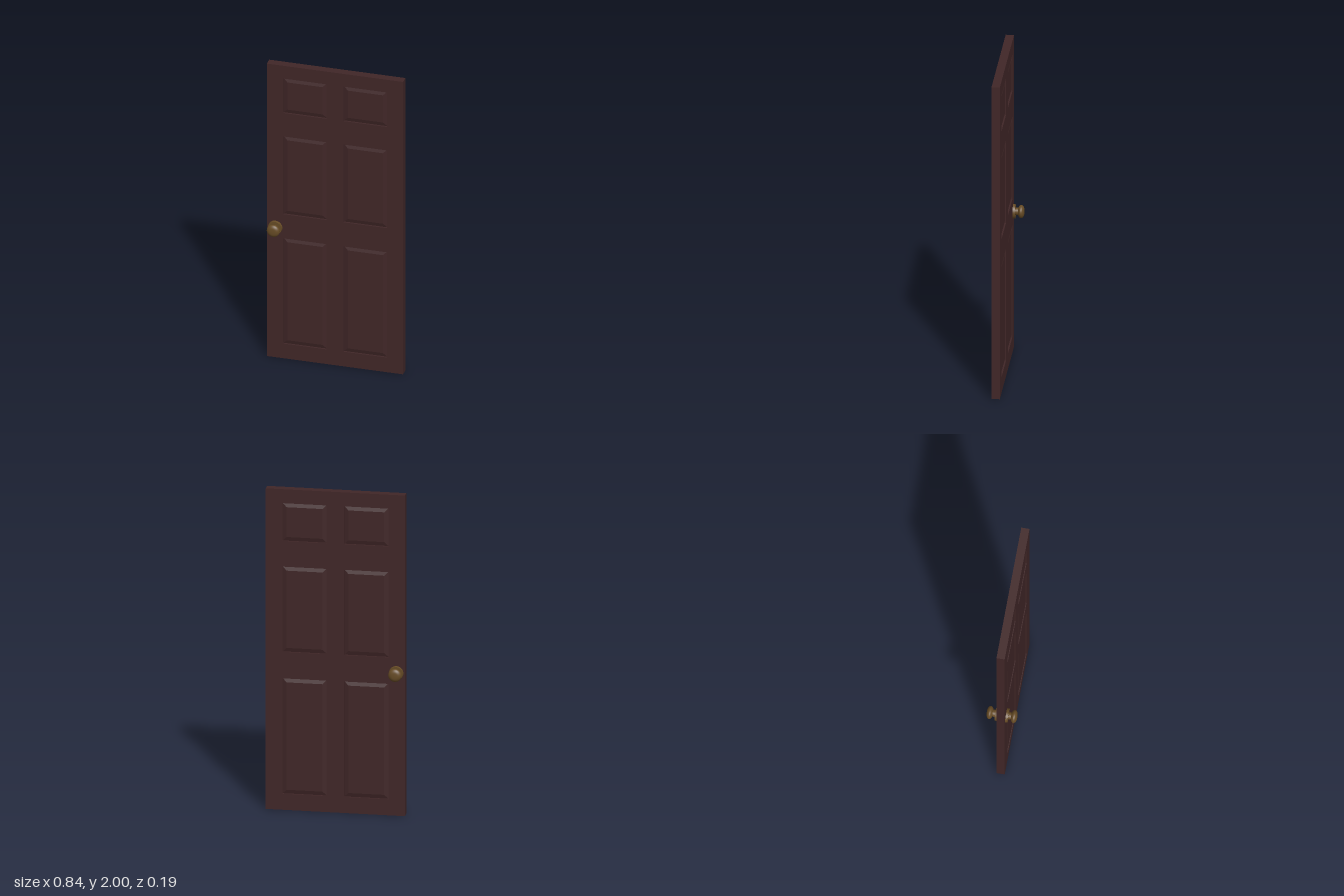
import * as THREE from 'three';

const wood = new THREE.MeshStandardMaterial({ color: 0x402627 });
wood.name = 'dark red wood';
const brass = new THREE.MeshStandardMaterial({ color: 0x664b25 });
brass.name = 'aged brass';

const W = 0.42, H = 2, T = 0.05;
const COLUMNS = [[-0.32, -0.053], [0.053, 0.32]];
const ROWS = [[0.1, 0.82], [0.985, 1.517], [1.677, 1.913]];

function add(parent, name, geometry, material) {
  const mesh = new THREE.Mesh(geometry, material);
  mesh.name = name;
  parent.add(mesh);
  return mesh;
}

function trace(path, x0, y0, x1, y1) {
  path.moveTo(x0, y0);
  path.lineTo(x1, y0);
  path.lineTo(x1, y1);
  path.lineTo(x0, y1);
  path.closePath();
  return path;
}

// Raised panel: thin at its edges, sloping up to a flat field on both faces
function panelGeometry(x0, y0, x1, y1) {
  const edge = 0.028, rise = 0.008, slope = 0.025;
  const geometry = new THREE.ExtrudeGeometry(trace(new THREE.Shape(), x0, y0, x1, y1), {
    depth: edge, bevelEnabled: true, bevelSegments: 1,
    bevelThickness: rise, bevelSize: slope, bevelOffset: -slope,
  });
  return geometry.translate(0, 0, -edge / 2);
}

// Turned profile from an array of [radius, distance from the door centre]
function turned(points, segments = 32) {
  const profile = points.map(([r, d]) => new THREE.Vector2(r, d));
  return new THREE.LatheGeometry(profile, segments).rotateX(Math.PI / 2);
}

function makeKnob() {
  const knob = new THREE.Group();
  // Rosette against the door
  const plate = new THREE.CylinderGeometry(0.042, 0.044, 0.016, 32).rotateX(Math.PI / 2);
  add(knob, 'rosette', plate, brass).position.z = 0.031;
  // Neck
  const neck = new THREE.CylinderGeometry(0.022, 0.022, 0.03, 32).rotateX(Math.PI / 2);
  add(knob, 'neck', neck, brass).position.z = 0.05;
  // Flattened grip
  const outline = new THREE.SplineCurve([
    [0.018, 0.055], [0.03, 0.059], [0.038, 0.067], [0.04, 0.073],
    [0.037, 0.081], [0.028, 0.088], [0.017, 0.0915], [0, 0.0925],
  ].map(([r, d]) => new THREE.Vector2(r, d))).getPoints(20);
  add(knob, 'grip', turned(outline.map((p) => [Math.max(0, p.x), p.y])), brass);
  return knob;
}

export function createModel() {
  const door = new THREE.Group();
  door.name = 'panelDoor';

  // Stiles and rails, with an opening for each panel
  const frame = trace(new THREE.Shape(), -W, 0, W, H);
  for (const [x0, x1] of COLUMNS) {
    for (const [y0, y1] of ROWS) {
      frame.holes.push(trace(new THREE.Path(), x0, y0, x1, y1));
      add(door, 'raisedPanel', panelGeometry(x0, y0, x1, y1), wood);
    }
  }
  const slab = new THREE.ExtrudeGeometry(frame, { depth: T, bevelEnabled: false });
  add(door, 'doorFrame', slab.translate(0, 0, -T / 2), wood);

  // A knob on each face
  for (const [name, turn] of [['frontKnob', 0], ['backKnob', Math.PI]]) {
    const knob = makeKnob();
    knob.name = name;
    knob.position.set(-0.368, 0.89, 0);
    knob.rotation.y = turn;
    door.add(knob);
  }
  return door;
}
